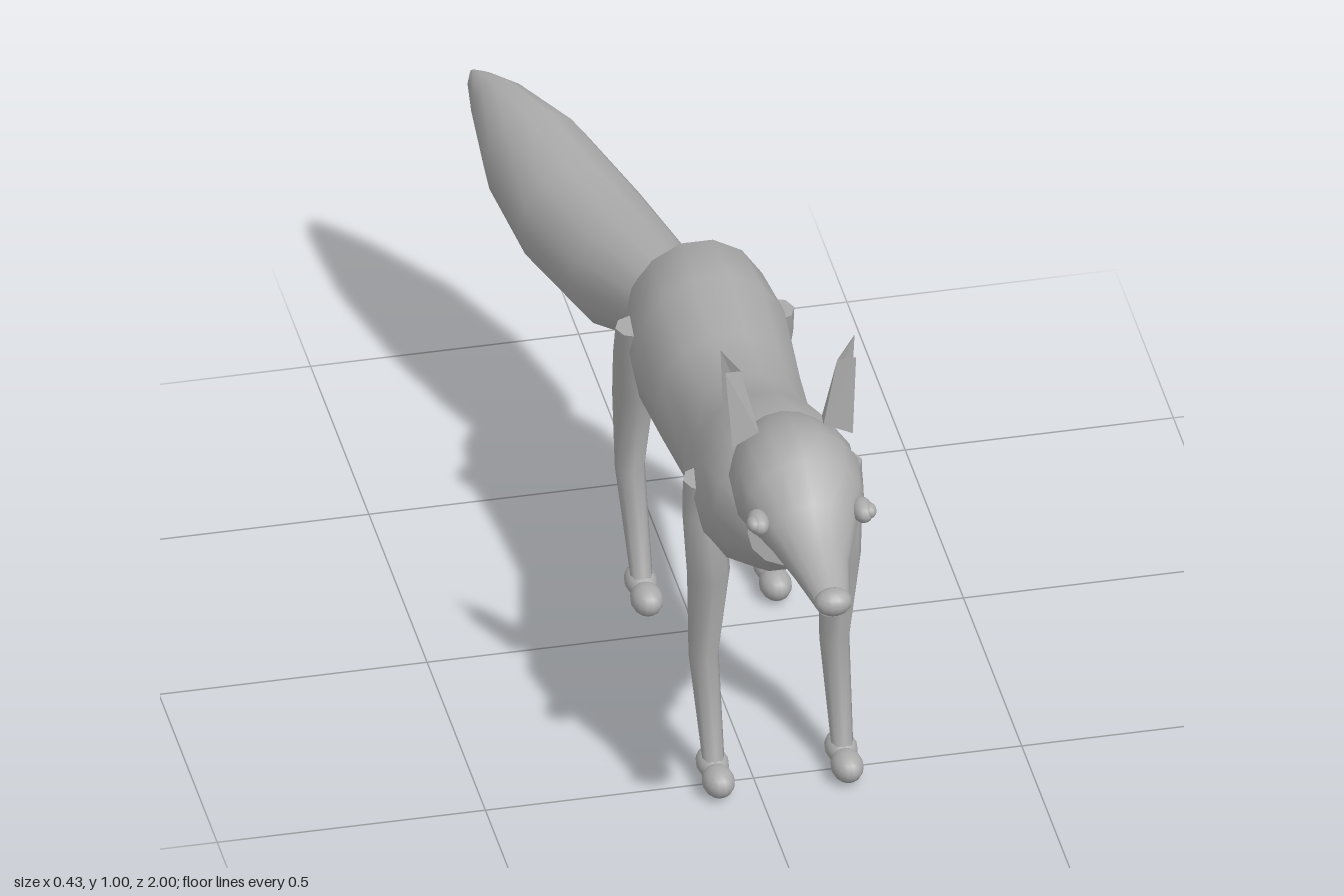
import * as THREE from 'three';

const AXIS_X = 0.046; // centre line of body and head; the tail swings to the other side

// Closed loft along z; stations are [z, cx, cy, rx, ry] in rising z
function loft(stations, sides) {
  const pos = [], idx = [];
  const ring = ([z, cx, cy, rx, ry]) => {
    const start = pos.length / 3;
    for (let j = 0; j < sides; j++) {
      const a = (j / sides) * Math.PI * 2;
      pos.push(cx + rx * Math.cos(a), cy + ry * Math.sin(a), z);
    }
    return start;
  };
  const rings = stations.map(ring);
  for (let i = 0; i < rings.length - 1; i++) {
    for (let j = 0; j < sides; j++) {
      const k = (j + 1) % sides;
      const a = rings[i] + j, b = rings[i] + k, c = rings[i + 1] + k, d = rings[i + 1] + j;
      idx.push(a, b, c, a, c, d);
    }
  }
  // Flat end caps with their own corners
  const first = ring(stations[0]), last = ring(stations[stations.length - 1]);
  for (let j = 1; j < sides - 1; j++) {
    idx.push(first, first + j + 1, first + j, last, last + j, last + j + 1);
  }
  const geo = new THREE.BufferGeometry();
  geo.setAttribute('position', new THREE.Float32BufferAttribute(pos, 3));
  geo.setIndex(idx);
  geo.computeVertexNormals();
  return geo;
}

export function createModel() {
  const model = new THREE.Group();
  model.name = 'fox';
  const grey = new THREE.MeshStandardMaterial({ color: 0xaaaaaa });
  grey.name = 'grey';
  const greyThin = grey.clone();
  greyThin.name = 'grey two sided';
  greyThin.side = THREE.DoubleSide;

  const add = (name, geo, parent = model, mat = grey) => {
    const mesh = new THREE.Mesh(geo, mat);
    mesh.name = name;
    parent.add(mesh);
    return mesh;
  };
  const ellipsoid = (name, parent, p, r) => {
    const mesh = add(name, new THREE.SphereGeometry(1, 14, 10), parent);
    mesh.position.set(...p);
    mesh.scale.set(...r);
  };

  // Torso
  add('body', loft([
    [-0.27, AXIS_X, 0.555, 0.105, 0.105],
    [-0.2, AXIS_X, 0.56, 0.135, 0.157],
    [-0.07, AXIS_X, 0.552, 0.15, 0.173],
    [0.08, AXIS_X, 0.545, 0.138, 0.15],
    [0.23, AXIS_X, 0.553, 0.127, 0.147],
    [0.35, AXIS_X, 0.57, 0.14, 0.17],
    [0.48, AXIS_X, 0.615, 0.153, 0.175],
    [0.56, AXIS_X, 0.63, 0.135, 0.145],
    [0.65, AXIS_X, 0.64, 0.09, 0.085],
  ], 14));

  // Tail
  add('tail', loft([
    [-1, -0.197, 0.6, 0.006, 0.006],
    [-0.975, -0.187, 0.593, 0.026, 0.024],
    [-0.92, -0.163, 0.57, 0.055, 0.06],
    [-0.8, -0.12, 0.523, 0.1, 0.108],
    [-0.64, -0.072, 0.485, 0.118, 0.12],
    [-0.46, -0.022, 0.48, 0.11, 0.12],
    [-0.25, 0.025, 0.53, 0.072, 0.08],
  ], 14));

  // Head with tapering snout
  const head = new THREE.Group();
  head.name = 'head';
  head.position.x = AXIS_X;
  model.add(head);
  add('skull', loft([
    [0.49, 0, 0.745, 0.04, 0.04],
    [0.53, 0, 0.735, 0.085, 0.08],
    [0.59, 0, 0.73, 0.112, 0.11],
    [0.67, 0, 0.74, 0.121, 0.121],
    [0.73, 0, 0.74, 0.11, 0.097],
    [0.8, 0, 0.717, 0.08, 0.066],
    [0.87, 0, 0.69, 0.052, 0.044],
    [0.975, 0, 0.677, 0.03, 0.024],
  ], 16), head);
  ellipsoid('nose', head, [0, 0.684, 0.972], [0.035, 0.026, 0.028]);

  for (const s of [1, -1]) {
    const side = s > 0 ? 'left' : 'right';

    // Eyes
    ellipsoid(side + 'Eye', head, [s * 0.097, 0.744, 0.775], [0.02, 0.021, 0.032]);
    ellipsoid(side + 'Pupil', head, [s * 0.108, 0.748, 0.785], [0.013, 0.014, 0.018]);

    // Ears: back and front leaf joined along the inner edge
    const e = [
      [0.125, 0.997, 0.58], [0.118, 0.82, 0.575], [0.062, 0.835, 0.59], [0.09, 0.955, 0.593],
      [0.122, 0.965, 0.607], [0.112, 0.812, 0.625], [0.06, 0.83, 0.612],
    ];
    const ear = new THREE.BufferGeometry();
    const faces = [0, 1, 2, 0, 2, 3, 4, 6, 5, 4, 3, 6, 3, 2, 6];
    ear.setAttribute('position', new THREE.Float32BufferAttribute(
      faces.flatMap((i) => [s * e[i][0], e[i][1], e[i][2]]), 3));
    if (s > 0) { // mirrored side needs the opposite corner order
      const n = faces.length;
      ear.setIndex([...Array(n).keys()].map((i) => (i % 3 === 1 ? i + 1 : i % 3 === 2 ? i - 1 : i)));
    }
    ear.computeVertexNormals();
    add(side + 'Ear', ear, head, greyThin);

    // Legs: stations are [y, x offset, z, x radius, z radius]
    const legs = {
      FrontLeg: [
        [0.04, 0.12, 0.5, 0.02, 0.022], [0.235, 0.122, 0.42, 0.028, 0.034],
        [0.44, 0.122, 0.463, 0.04, 0.047], [0.56, 0.128, 0.452, 0.04, 0.036], [0.635, 0.129, 0.45, 0.038, 0.04],
      ],
      BackLeg: [
        [0.04, 0.12, -0.115, 0.02, 0.022], [0.235, 0.122, -0.213, 0.028, 0.034],
        [0.42, 0.122, -0.18, 0.04, 0.045], [0.53, 0.128, -0.145, 0.04, 0.04], [0.592, 0.129, -0.13, 0.038, 0.037],
      ],
    };
    for (const [name, stations] of Object.entries(legs)) {
      const leg = new THREE.Group();
      leg.name = side + name;
      leg.position.x = AXIS_X;
      model.add(leg);
      const geo = loft(stations.map(([y, x, z, rx, rz]) => [y, s * x, -z, rx, rz]), 8);
      add('shank', geo.rotateX(-Math.PI / 2), leg);
      const z = stations[0][2];
      ellipsoid('paw', leg, [s * 0.12, 0.029, z + 0.038], [0.03, 0.029, 0.04]);
      ellipsoid('heel', leg, [s * 0.12, 0.036, z - 0.014], [0.03, 0.026, 0.045]);
    }
  }
  return model;
}
